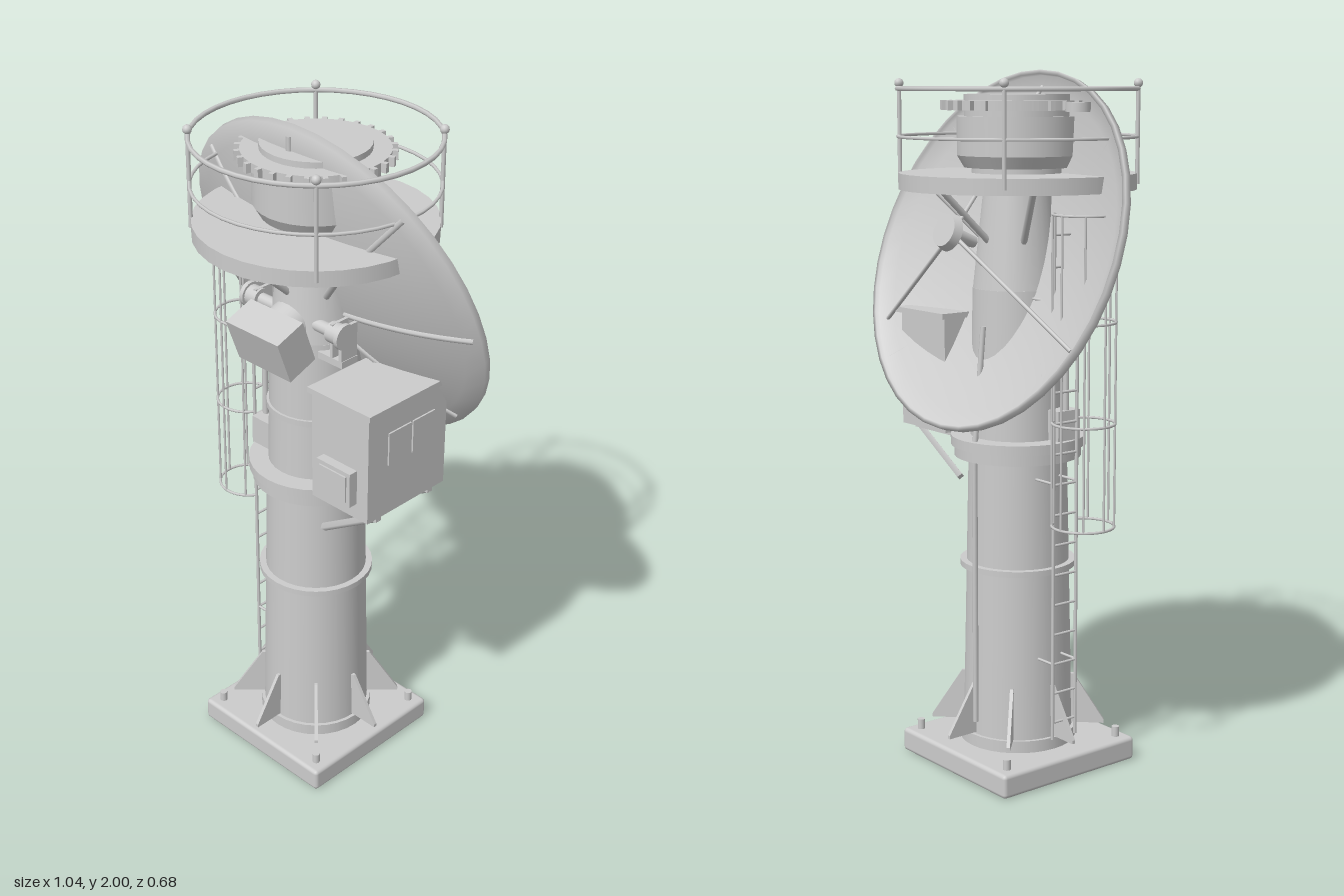
import * as THREE from 'three';
import { RoundedBoxGeometry } from 'three/addons/geometries/RoundedBoxGeometry.js';

const V = (x, y, z) => new THREE.Vector3(x, y, z);

export function createModel() {
  const model = new THREE.Group();
  model.name = 'dishTower';
  const grey = new THREE.MeshStandardMaterial({ color: 0xcccccc });
  grey.name = 'light grey';

  const add = (name, geo, parent = model, pos = [0, 0, 0]) => {
    const m = new THREE.Mesh(geo, grey);
    m.name = name;
    m.position.set(...pos);
    parent.add(m);
    return m;
  };
  const group = (name, parent = model) => {
    const g = new THREE.Group();
    g.name = name;
    parent.add(g);
    return g;
  };
  const box = (name, w, h, d, pos, parent) => add(name, new THREE.BoxGeometry(w, h, d), parent, pos);
  // upright frustum between two heights
  const drum = (name, y0, y1, r0, r1 = r0, parent = model, x = 0, z = 0) =>
    add(name, new THREE.CylinderGeometry(r1, r0, y1 - y0, 32), parent, [x, (y0 + y1) / 2, z]);
  // straight rod between two points
  const rod = (name, a, b, r, parent, sides = 8) => {
    const d = b.clone().sub(a);
    const m = add(name, new THREE.CylinderGeometry(r, r, d.length(), sides), parent);
    m.position.copy(a).addScaledVector(d, 0.5);
    m.quaternion.setFromUnitVectors(V(0, 1, 0), d.normalize());
    return m;
  };
  const hoop = (name, r, tube, y, parent, arc = Math.PI * 2) => {
    const g = new THREE.TorusGeometry(r, tube, 6, 40, arc).rotateX(Math.PI / 2);
    return add(name, g, parent, [0, y, 0]);
  };

  // Base plate, bolts and gussets
  const base = group('base');
  add('basePlate', new RoundedBoxGeometry(0.49, 0.07, 0.49, 2, 0.012), base, [0, 0.035, 0]);
  for (const x of [-0.205, 0.205]) for (const z of [-0.205, 0.205]) drum('anchorBolt', 0.065, 0.1, 0.011, 0.011, base, x, z);
  drum('baseFlange', 0.065, 0.105, 0.17, 0.17, base);
  const fin = new THREE.Shape([[0.14, 0.11], [0.255, 0.11], [0.255, 0.12], [0.165, 0.26], [0.14, 0.26]]
    .map(p => new THREE.Vector2(...p)));
  const finGeo = new THREE.ExtrudeGeometry(fin, { depth: 0.01, bevelEnabled: false }).translate(0, 0, -0.005);
  for (let i = 0; i < 8; i++) add('gusset', finGeo, base).rotation.y = i * Math.PI / 4;

  // Mast
  const mast = group('mast');
  drum('lowerMast', 0.1, 0.93, 0.16, 0.142, mast);
  drum('midRing', 0.593, 0.61, 0.168, 0.168, mast);
  drum('flangeLower', 0.918, 0.95, 0.183, 0.183, mast);
  drum('flangeUpper', 0.95, 0.978, 0.193, 0.193, mast);
  drum('upperMast', 0.97, 1.4, 0.137, 0.128, mast);
  drum('upperRing', 1.15, 1.168, 0.14, 0.14, mast);
  drum('neck', 1.4, 1.69, 0.127, 0.095, mast);
  rod('rearConduit', V(-0.02, 0.15, -0.172), V(-0.02, 0.95, -0.172), 0.008, mast);
  rod('rearConduit', V(-0.02, 0.95, -0.172), V(-0.02, 1.3, -0.14), 0.008, mast);
  box('junctionBox', 0.07, 0.085, 0.08, [-0.145, 1.022, 0.04], mast);
  rod('sideConduit', V(-0.165, 1.06, 0.04), V(-0.165, 1.4, 0.04), 0.009, mast);

  // Service platform with braces and handrail
  const deck = group('platform');
  drum('deck', 1.675, 1.72, 0.333, 0.333, deck);
  for (let i = 0; i < 6; i++) {
    const a = Math.PI / 6 + i * Math.PI / 3, c = Math.cos(a), s = Math.sin(a);
    rod('deckBrace', V(c * 0.1, 1.53, s * 0.1), V(c * 0.27, 1.685, s * 0.27), 0.01, deck);
  }
  for (let i = 0; i < 4; i++) {
    const a = Math.PI / 4 + i * Math.PI / 2, x = Math.cos(a) * 0.333, z = Math.sin(a) * 0.333;
    rod('railPost', V(x, 1.69, z), V(x, 1.96, z), 0.006, deck);
    add('postLamp', new THREE.SphereGeometry(0.013, 12, 8), deck, [x, 1.965, z]);
  }
  hoop('midRail', 0.333, 0.005, 1.82, deck);
  hoop('topRail', 0.333, 0.007, 1.95, deck);

  // Turntable head with toothed ring
  const head = group('turntable');
  drum('headFoot', 1.71, 1.74, 0.13, 0.13, head);
  drum('headTaper', 1.735, 1.768, 0.15, 0.17, head);
  drum('headDrum', 1.768, 1.875, 0.17, 0.17, head);
  drum('headNeck', 1.875, 1.935, 0.15, 0.15, head);
  drum('gearRing', 1.892, 1.918, 0.2, 0.2, head);
  for (let i = 0; i < 28; i++) {
    const a = i / 28 * Math.PI * 2;
    box('gearTooth', 0.022, 0.026, 0.014, [Math.cos(a) * 0.204, 1.905, Math.sin(a) * 0.204], head).rotation.y = -a;
  }
  drum('pinion', 1.89, 1.915, 0.034, 0.034, head, -0.255, 0);

  // Dish: local +y is the boresight, local +z points up the tilted rim
  const R = 0.52, depth = 0.1;
  const dish = group('dish');
  dish.position.set(0, 1.51, -0.09);
  dish.rotation.x = -1.219;
  const bowl = r => -depth * (1 - (r / R) ** 2);
  const profile = [];
  for (let i = 0; i <= 10; i++) profile.push(new THREE.Vector2(R * i / 10, bowl(R * i / 10) - 0.01));
  profile.push(new THREE.Vector2(R, 0.01), new THREE.Vector2(R - 0.012, 0.01));
  for (let i = 10; i >= 0; i--) profile.push(new THREE.Vector2((R - 0.012) * i / 10, bowl((R - 0.012) * i / 10)));
  add('reflector', new THREE.LatheGeometry(profile, 40), dish);
  for (let i = 0; i < 8; i++) {
    const a = i * Math.PI / 4, pts = [];
    for (let k = 0; k <= 6; k++) {
      const r = 0.08 + 0.42 * k / 6;
      pts.push(V(Math.cos(a) * r, bowl(r) - 0.009, Math.sin(a) * r));
    }
    add('reflectorRib', new THREE.TubeGeometry(new THREE.CatmullRomCurve3(pts), 12, 0.009, 6), dish);
  }
  // Feed on three legs
  drum('feedHorn', 0.07, 0.155, 0.016, 0.022, dish);
  drum('feedDisc', 0.155, 0.18, 0.052, 0.045, dish);
  for (const deg of [90, 210, 330]) {
    const a = deg * Math.PI / 180, r = 0.48;
    rod('feedLeg', V(Math.cos(a) * r, bowl(r), Math.sin(a) * r), V(0, 0.15, 0), 0.006, dish);
  }
  // Boss and counterweight on the convex side
  drum('hubBoss', -0.25, -0.09, 0.065, 0.065, dish);
  box('counterweight', 0.2, 0.1, 0.135, [0, -0.28, 0], dish);

  // Elevation bearings on both sides
  const mount = group('elevationMount');
  rod('axle', V(-0.18, 1.455, 0.075), V(0.18, 1.455, 0.075), 0.018, mount, 16);
  for (const s of [-1, 1]) {
    rod('bearing', V(s * 0.135, 1.455, 0.075), V(s * 0.175, 1.455, 0.075), 0.03, mount, 20);
    rod('bearingCap', V(s * 0.175, 1.455, 0.075), V(s * 0.188, 1.455, 0.075), 0.037, mount, 20);
    for (const x of [0.147, 0.18]) box('bearingPlate', 0.01, 0.11, 0.06, [s * x, 1.43, 0.06], mount);
    box('bearingFoot', 0.09, 0.02, 0.06, [s * 0.142, 1.375, 0.06], mount);
  }

  // Equipment cabinet on its brackets
  const cabinet = group('cabinet');
  box('cabinetBody', 0.21, 0.335, 0.31, [0.245, 1.142, 0], cabinet);
  box('cabinetRoof', 0.232, 0.016, 0.335, [0.249, 1.313, 0], cabinet);
  box('frontHatch', 0.125, 0.105, 0.03, [0.247, 1.075, 0.168], cabinet);
  box('hatchPanel', 0.1, 0.08, 0.006, [0.247, 1.075, 0.185], cabinet);
  for (const z of [-0.06, 0.035]) box('sideVent', 0.006, 0.1, 0.088, [0.352, 1.18, z], cabinet);
  for (const z of [-0.105, 0.105]) {
    rod('cabinetBrace', V(0.135, 0.84, z), V(0.34, 0.968, z), 0.012, cabinet, 4);
    box('cabinetBearer', 0.22, 0.018, 0.02, [0.235, 0.967, z], cabinet);
  }

  // Ladder with safety cage
  const ladder = group('ladder');
  for (const z of [-0.042, 0.042]) {
    rod('ladderRail', V(-0.21, 0.12, z), V(-0.21, 1.62, z), 0.005, ladder);
    for (const y of [0.345, 0.87, 1.38]) rod('ladderBracket', V(-0.21, y, z), V(-0.12, y, z), 0.004, ladder);
  }
  for (let y = 0.17; y < 1.6; y += 0.087) rod('rung', V(-0.21, y, -0.042), V(-0.21, y, 0.042), 0.004, ladder, 6);
  const cage = group('cage', ladder);
  cage.position.x = -0.287;
  const open = 0.55;
  for (const y of [0.76, 1.05, 1.33, 1.62])
    hoop('cageHoop', 0.087, 0.004, y, cage, Math.PI * 2 - 2 * open).rotation.y = -open;
  for (const deg of [50, 95, 140, 180, 220, 265, 310]) {
    const a = deg * Math.PI / 180, x = Math.cos(a) * 0.087, z = Math.sin(a) * 0.087;
    rod('cageBar', V(x, 0.76, z), V(x, 1.62, z), 0.0035, cage, 6);
  }
  return model;
}
